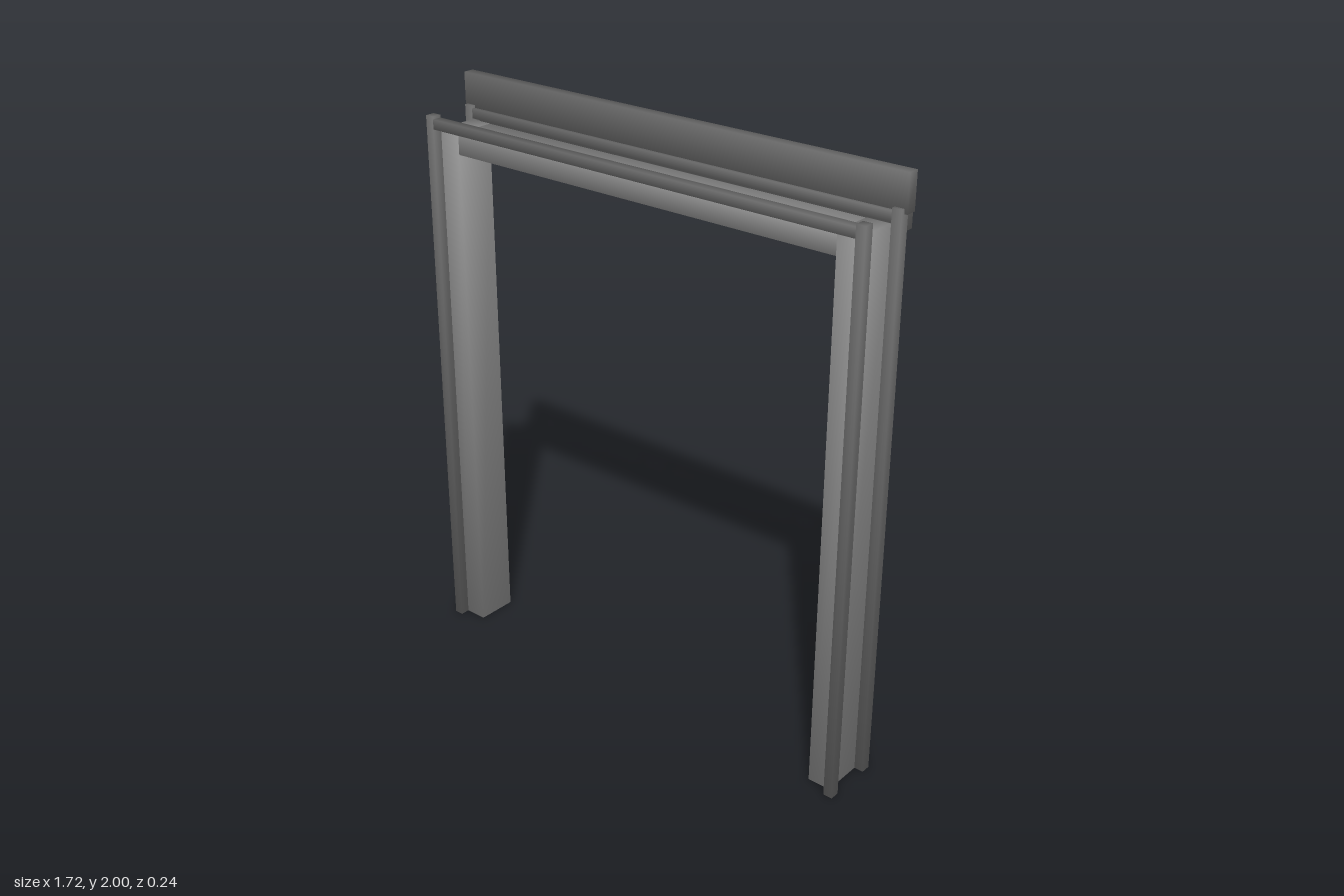
import * as THREE from 'three';

export function createModel() {
  const group = new THREE.Group();
  const jambMaterial = new THREE.MeshStandardMaterial({ color: 0x8e8e8e });
  const trimMaterial = new THREE.MeshStandardMaterial({ color: 0x6a6a6a });
  const strapMaterial = new THREE.MeshStandardMaterial({ color: 0xa0a0a0 });

  // Box given by its [min, max] along each axis; soft boxes share one normal per corner
  function block(name, material, [x0, x1], [y0, y1], [z0, z1], soft = true) {
    const geometry = new THREE.BoxGeometry(x1 - x0, y1 - y0, z1 - z0);
    if (soft) {
      const { position, normal } = geometry.attributes;
      const corner = new THREE.Vector3();
      for (let i = 0; i < position.count; i++) {
        corner.fromBufferAttribute(position, i);
        corner.set(Math.sign(corner.x), Math.sign(corner.y), Math.sign(corner.z)).normalize();
        normal.setXYZ(i, corner.x, corner.y, corner.z);
      }
    }
    const mesh = new THREE.Mesh(geometry, material);
    mesh.position.set((x0 + x1) / 2, (y0 + y1) / 2, (z0 + z1) / 2);
    mesh.name = name;
    group.add(mesh);
  }

  const mirrored = (side, a, b) => side > 0 ? [a, b] : [-b, -a];
  const jambDepth = [-0.055, 0.088];
  const trims = [['Front', [0.088, 0.121]], ['Back', [-0.088, -0.055]]];

  // Side jambs with slim trim posts on their outer corners
  for (const [side, label] of [[1, 'left'], [-1, 'right']]) {
    block(label + 'Jamb', jambMaterial, mirrored(side, 0.738, 0.818), [0, 1.85], jambDepth);
    for (const [face, depth] of trims) {
      block(`${label}${face}TrimPost`, trimMaterial, mirrored(side, 0.818, 0.85), [0, 1.895], depth);
    }
    // Upright strap behind the header panel
    block(label + 'Strap', strapMaterial, mirrored(side, 0.545, 0.575), [1.835, 1.985], [-0.121, -0.1], false);
  }

  // Head jamb and the rails joining the trim posts
  block('headJamb', jambMaterial, [-0.738, 0.738], [1.776, 1.849], jambDepth);
  for (const [face, depth] of trims) {
    block(`head${face}Rail`, trimMaterial, [-0.818, 0.818], [1.853, 1.886], depth);
  }

  // Header board with its backing panel
  block('headerBoard', trimMaterial, [-0.86, 0.86], [1.88, 2], [-0.106, -0.068]);
  block('headerBackPanel', trimMaterial, [-0.848, 0.848], [1.826, 1.99], [-0.117, -0.088]);

  return group;
}
